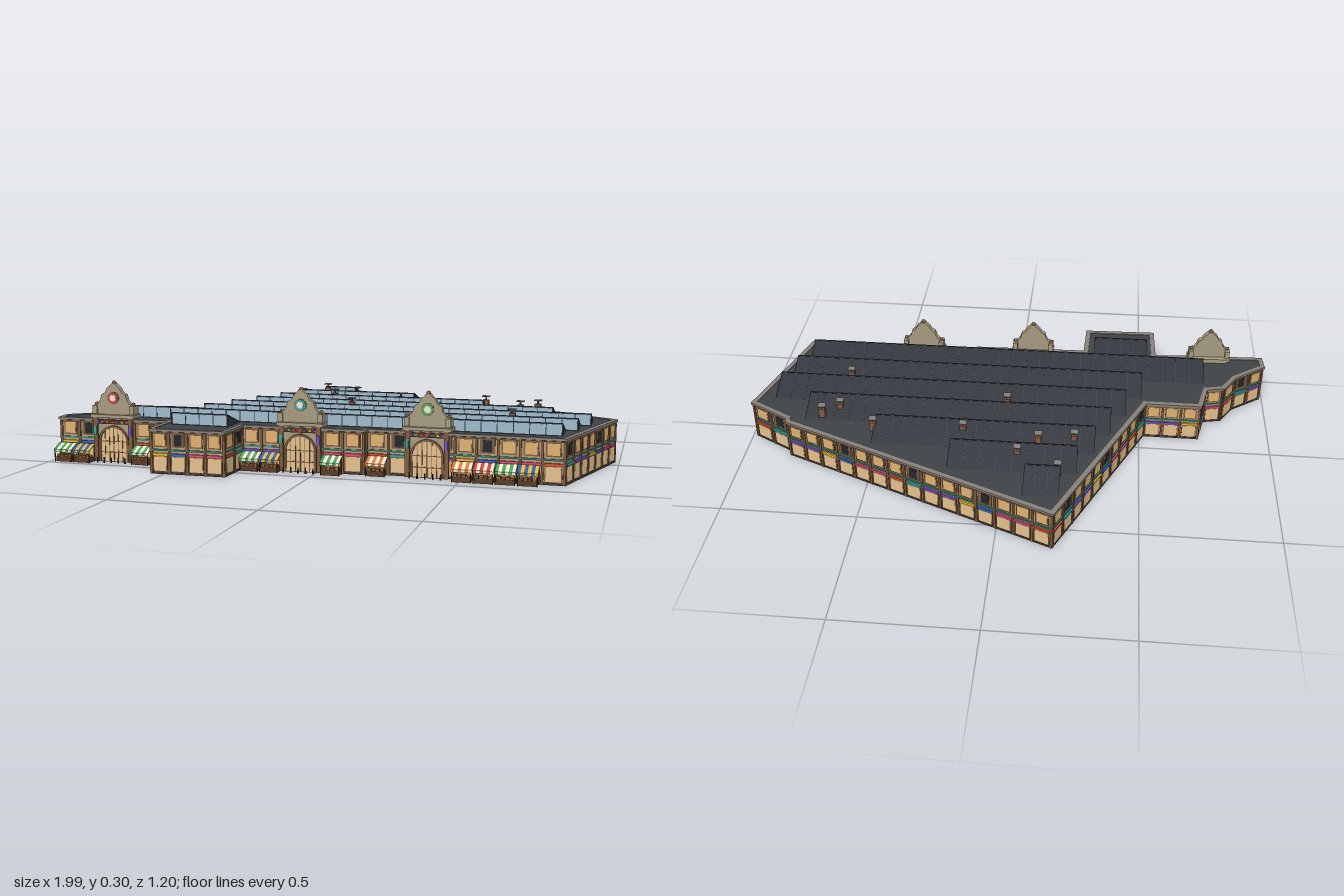
import * as THREE from 'three';
import { mergeGeometries } from 'three/addons/utils/BufferGeometryUtils.js';

// Footprint corners [x, z]; each edge runs with the outside on its local +z
const FOOT = [
  [-0.2, -0.595], [-0.515, 0.08], [-0.725, 0.08], [-0.75, 0.195], [-0.82, 0.21], [-0.87, 0.29],
  [-0.985, 0.375], [-0.98, 0.43], [-0.69, 0.42], [-0.55, 0.41], [-0.545, 0.585], [-0.28, 0.578],
  [-0.275, 0.42], [0.165, 0.41], [0.17, 0.388], [0.48, 0.397], [0.845, 0.403], [0.98, -0.055],
  [0.825, -0.14], [0.82, -0.165],
];
const H = 0.153, PITCH = 0.123;
const C = {
  wall: 0xb89a70, panel: 0xdfb070, lower: 0xe2bf8c, trim: 0x7b5a40, dark: 0x22262a, shutter: 0x5c6268,
  teal: 0x2f8f86, stone: 0xa59a80, coping: 0x85807a, deck: 0x3f4245, roof: 0x2f333a, glass: 0x9db9cb,
  brick: 0x855a43, base: 0x3b3733, wood: 0x5a3a24, cream: 0xeee6d2,
};
const SIGNS = [0xe0457b, 0x2f62c8, 0xe8b92e, 0x7a4fd0, 0x2fa8a0, 0xd84a35];

export function createModel() {
  const root = new THREE.Group();
  const batches = new Map();

  // Collect geometry by part and colour, merged at the end
  const add = (name, color, geo, frame) => {
    const g = geo.index ? geo.toNonIndexed() : geo;
    if (frame) g.applyMatrix4(frame);
    const key = name + color;
    if (!batches.has(key)) batches.set(key, { name, color, list: [] });
    batches.get(key).list.push(g);
  };
  const box = (name, color, w, h, d, x, y, z, frame, tilt = 0) =>
    add(name, color, new THREE.BoxGeometry(w, h, d).rotateX(tilt).translate(x, y, z), frame);
  const frameAt = (x, z, angle) => new THREE.Matrix4().makeRotationY(angle).setPosition(x, 0, z);

  // Main block, roof deck and base slab
  const plan = () => new THREE.Shape(FOOT.map(([x, z]) => new THREE.Vector2(x, -z)));
  const slab = (name, color, y, h) => add(name, color,
    new THREE.ExtrudeGeometry(plan(), { depth: h, bevelEnabled: false }).rotateX(-Math.PI / 2).translate(0, y, 0));
  slab('baseSlab', C.base, 0, 0.004);
  slab('walls', C.wall, 0.004, H - 0.008);
  slab('roofDeck', C.deck, H - 0.004, 0.006);

  // Facade bays along every wall
  let k = 0;
  const bay = (x, w, f) => {
    k++;
    const sign = SIGNS[(k * 5 + (k >> 2)) % SIGNS.length];
    const kind = (k * 7 + (k >> 1)) % 5, pw = w * 0.7;
    // upper window
    box('windowFrame', C.trim, pw, 0.05, 0.005, x, 0.119, 0.001, f);
    const blind = k % 4 !== 2;
    box('window', blind ? C.panel : C.dark, pw * (blind ? 0.8 : 0.6), 0.04, 0.006, x, 0.119, 0.0015, f);
    // shop front
    box('shopFrame', C.trim, w * 0.8, 0.062, 0.005, x, 0.036, 0.001, f);
    box('shopSign', sign, w * 0.84, 0.008, 0.009, x, 0.069, 0.002, f);
    if (kind === 1) {
      box('shutter', C.shutter, w * 0.7, 0.054, 0.006, x, 0.033, 0.0015, f);
      for (let i = 0; i < 6; i++) box('shutterSlat', C.dark, w * 0.7, 0.002, 0.008, x, 0.013 + i * 0.008, 0.0015, f);
    } else {
      box('shopPanel', C.lower, w * 0.7, 0.05, 0.006, x, 0.036, 0.0015, f);
      if (kind === 3) box('shopDoor', C.dark, w * 0.28, 0.048, 0.008, x + w * 0.12, 0.028, 0.0015, f);
    }
  };
  FOOT.forEach(([ax, az], i) => {
    const [bx, bz] = FOOT[(i + 1) % FOOT.length];
    const len = Math.hypot(bx - ax, bz - az);
    const f = frameAt(ax, az, Math.atan2(az - bz, bx - ax));
    box('coping', C.coping, len + 0.014, 0.009, 0.018, len / 2, H, 0, f);
    box('cornice', C.trim, len, 0.004, 0.01, len / 2, H - 0.008, 0, f);
    box('floorBand', C.teal, len, 0.006, 0.009, len / 2, 0.084, 0, f);
    box('plinth', C.base, len, 0.008, 0.009, len / 2, 0.004, 0, f);
    const n = Math.round(len / 0.072);
    for (let j = 0; j <= n; j++) {
      box('pilaster', C.trim, 0.008, H - 0.01, 0.01, n ? (j / n) * len : 0, (H - 0.01) / 2, 0.0005, f);
      if (j < n) bay((j + 0.5) * len / n, len / n, f);
    }
  });

  // Sawtooth roof: steep glass faces the front, slope falls to the back
  const rows = [[-0.52, -0.31], [-0.745, 0.83], [-0.5, 0.87], [-0.44, 0.905],
    [-0.385, 0.76], [-0.33, 0.485], [-0.27, 0.19], [-0.215, -0.09]];
  rows.forEach(([x0, x1], i) => {
    const z = 0.47 - i * PITCH, w = x1 - x0, mid = (x0 + x1) / 2, top = 0.198;
    const tooth = new THREE.Shape([new THREE.Vector2(z, H), new THREE.Vector2(z, top), new THREE.Vector2(z - PITCH, H)]);
    add('sawtoothRoof', C.roof, new THREE.ExtrudeGeometry(tooth, { depth: w, bevelEnabled: false })
      .rotateY(-Math.PI / 2).translate(x1, 0, 0));
    box('skylight', C.glass, w - 0.006, 0.036, 0.002, mid, 0.176, z + 0.0005);
    box('skylightRail', C.roof, w, 0.004, 0.005, mid, 0.1965, z);
    const n = Math.max(3, Math.round(w / 0.055));
    const slope = Math.atan2(top - H, PITCH);
    for (let j = 0; j <= n; j++) {
      const x = x0 + (j / n) * w;
      box('skylightBar', C.roof, 0.003, 0.042, 0.004, x, 0.177, z);
      box('roofSeam', C.deck, 0.002, 0.002, PITCH, x, (H + top) / 2, z - PITCH / 2, null, -slope);
    }
  });

  // Brick chimneys with raised cap plates
  for (const [x, z] of [[-0.205, -0.385], [-0.055, -0.305], [-0.125, -0.22], [-0.255, -0.2], [0.155, -0.18],
    [0.49, -0.185], [0.695, -0.12], [0.635, -0.08], [0.01, 0.01], [0.635, 0.135]]) {
    box('chimney', C.brick, 0.022, 0.045, 0.022, x, 0.172, z);
    box('chimneyFlue', C.base, 0.006, 0.014, 0.006, x, 0.2, z);
    box('chimneyCap', C.coping, 0.028, 0.003, 0.028, x, 0.208, z);
  }

  // Gatehouses with curved gables
  const gate = (x, z, angle, color) => {
    const f = frameAt(x, z, angle);
    box('gateWall', C.stone, 0.145, 0.165, 0.045, 0, 0.0825, -0.016, f);
    for (const s of [-1, 1]) {
      box('gatePier', C.trim, 0.016, 0.165, 0.04, s * 0.068, 0.0825, -0.006, f);
      box('gateBanner', s > 0 ? SIGNS[3] : SIGNS[4], 0.01, 0.03, 0.004, s * 0.068, 0.115, 0.016, f);
      box('gableBlock', C.stone, 0.018, 0.03, 0.04, s * 0.072, 0.19, -0.012, f);
      add('finial', C.trim, new THREE.SphereGeometry(0.007, 10, 8).translate(s * 0.072, 0.21, -0.012), f);
    }
    // arched doorway
    const arch = (r, h) => new THREE.Shape().moveTo(-r, 0).lineTo(r, 0).lineTo(r, h).absarc(0, h, r, 0, Math.PI).lineTo(-r, 0);
    const rim = arch(0.058, 0.075);
    rim.holes.push(arch(0.05, 0.075));
    add('gateArch', C.trim, new THREE.ExtrudeGeometry(rim, { depth: 0.01, bevelEnabled: false }).translate(0, 0, 0.002), f);
    add('gateDoor', C.lower, new THREE.ExtrudeGeometry(arch(0.05, 0.075), { depth: 0.002, bevelEnabled: false }).translate(0, 0, 0.006), f);
    for (let i = -2; i <= 2; i++) {
      const h = 0.075 + Math.sqrt(0.0025 - (i * 0.017) ** 2);
      box('doorBar', C.trim, i ? 0.002 : 0.004, h, 0.004, i * 0.017, h / 2, 0.008, f);
    }
    for (const y of [0.035, 0.075]) box('doorRail', C.trim, 0.1, 0.003, 0.004, 0, y, 0.008, f);
    box('gateFascia', C.wood, 0.15, 0.016, 0.05, 0, 0.147, -0.012, f);
    for (let i = -3; i <= 3; i++) box('fasciaLamp', SIGNS[(i + 6) % 6], 0.008, 0.006, 0.004, i * 0.019, 0.147, 0.014, f);
    box('gateCornice', C.stone, 0.17, 0.012, 0.055, 0, 0.167, -0.012, f);
    // gable
    const half = [[0.08, 0.172], [0.08, 0.203], [0.062, 0.212], [0.052, 0.226], [0.047, 0.245],
      [0.033, 0.253], [0.025, 0.268], [0.015, 0.277], [0.007, 0.286]];
    const profile = [...half, ...half.map(([a, b]) => [-a, b]).reverse()];
    add('gable', C.stone, new THREE.ExtrudeGeometry(new THREE.Shape(profile.map(([a, b]) => new THREE.Vector2(a, b))),
      { depth: 0.022, bevelEnabled: false }).translate(0, 0, -0.02), f);
    const disc = (c, r, d) => add('gableRoundel', c, new THREE.CylinderGeometry(r, r, d, 24)
      .rotateX(Math.PI / 2).translate(0, 0.234, 0.002), f);
    disc(C.trim, 0.022, 0.004);
    disc(color, 0.019, 0.007);
    disc(C.cream, 0.012, 0.01);
    add('finial', C.trim, new THREE.SphereGeometry(0.008, 12, 8).translate(0, 0.288, -0.009), f);
    // bollards
    for (let i = -2; i <= 2; i++) add('bollard', C.dark,
      new THREE.CylinderGeometry(0.0025, 0.003, 0.02, 8).translate(i * 0.027, 0.01, 0.035), f);
  };
  gate(-0.77, 0.424, 0.033, 0xd8434f);
  gate(-0.06, 0.414, 0.023, 0x2fb0a8);
  gate(0.385, 0.394, -0.029, 0x4fae55);

  // Market stalls with striped awnings
  const stall = (x, z, color, alt) => {
    const f = frameAt(x, z, 0);
    for (let i = 0; i < 6; i++) {
      const sx = -0.029 + i * 0.0116, c = i % 2 ? alt : color;
      box('awning', c, 0.0116, 0.003, 0.048, sx, 0.054, 0.023, f, 0.42);
      box('awningValance', c, 0.0116, 0.009, 0.002, sx, 0.04, 0.045, f);
    }
    for (const s of [-1, 1]) {
      box('stallPost', C.wood, 0.003, 0.042, 0.003, s * 0.032, 0.021, 0.042, f);
      box('stallPost', C.wood, 0.003, 0.06, 0.003, s * 0.032, 0.03, 0.003, f);
    }
    box('stallCounter', C.wood, 0.062, 0.018, 0.03, 0, 0.009, 0.022, f);
    for (let i = 0; i < 4; i++) {
      box('crate', C.brick, 0.013, 0.006, 0.026, -0.0225 + i * 0.015, 0.021, 0.022, f);
      box('produce', [0x6fae45, 0xe08a2e, 0xc8403a, 0xe3c540][i], 0.01, 0.004, 0.022, -0.0225 + i * 0.015, 0.0245, 0.022, f);
    }
  };
  const green = [0x4f9f5c, C.cream], blue = [0x3a5f9e, 0xd9b544], orange = [0xdd7a3c, C.cream], red = [0xc9443c, C.cream];
  for (const [x, z, list] of [[-0.985, 0.442, [green, blue]], [-0.687, 0.428, [green]], [-0.272, 0.423, [green, blue]],
    [0.022, 0.42, [green]], [0.175, 0.392, [orange]], [0.475, 0.409, [orange, red, green, blue]]])
    list.forEach((c, i) => stall(x + 0.036 + i * 0.073, z, ...c));

  for (const { name, color, list } of batches.values()) {
    const mesh = new THREE.Mesh(mergeGeometries(list), new THREE.MeshStandardMaterial({ color }));
    mesh.name = name;
    root.add(mesh);
  }
  return root;
}
